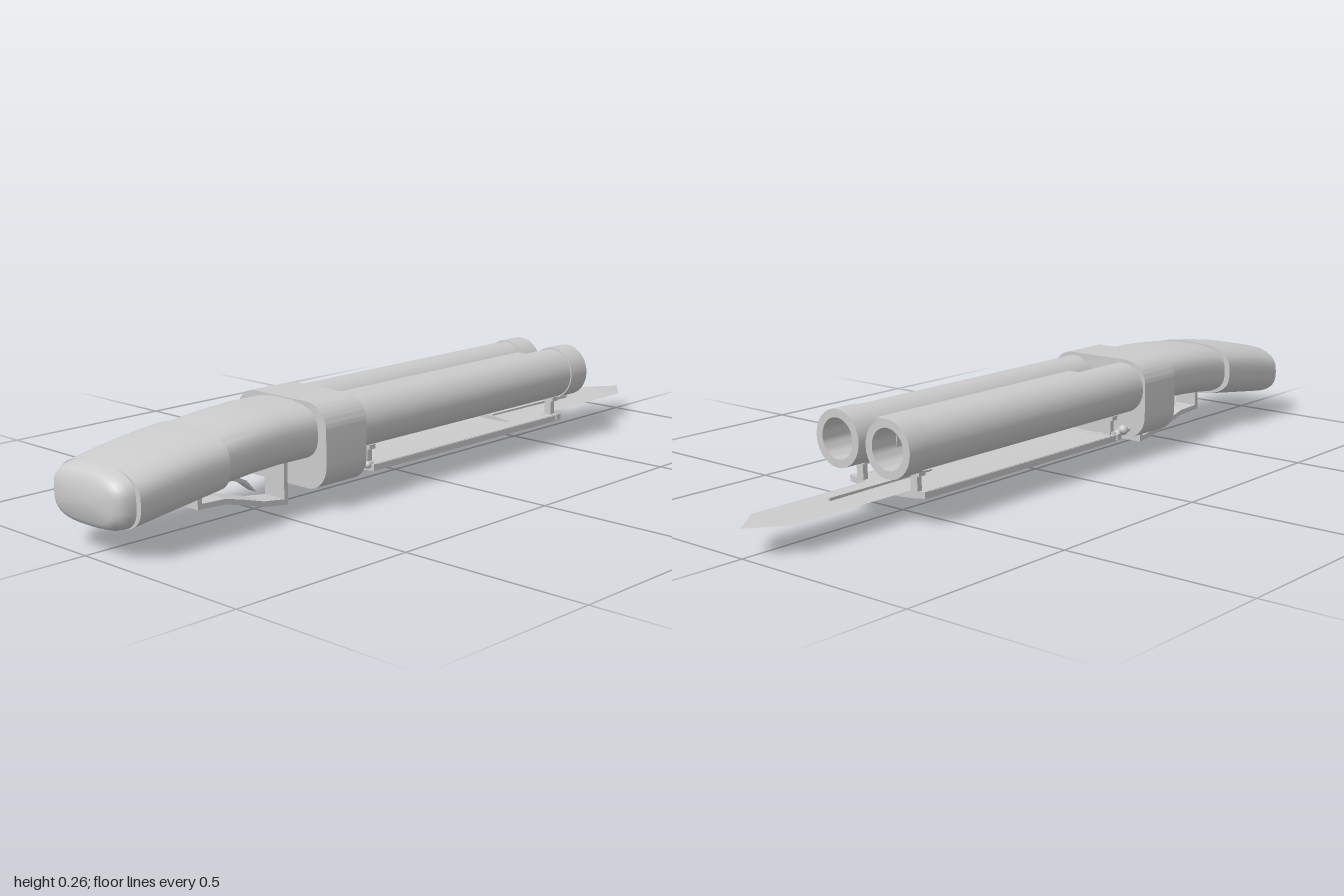
import * as THREE from 'three';
import { toCreasedNormals } from 'three/addons/utils/BufferGeometryUtils.js';

const material = new THREE.MeshStandardMaterial({ color: 0xcccccc, side: THREE.DoubleSide });

// Closed loft along z. Each section: [z, top, bottom, halfWidth]; n is the superellipse exponent.
function loft(sections, n, segments, crease = 0.6) {
  const pos = [], index = [];
  const power = (v) => Math.sign(v) * Math.pow(Math.abs(v), 2 / n);
  for (const [z, top, bottom, hx] of sections) {
    for (let i = 0; i < segments; i++) {
      const a = (i / segments) * Math.PI * 2;
      pos.push(hx * power(Math.cos(a)), (top + bottom) / 2 + ((top - bottom) / 2) * power(Math.sin(a)), z);
    }
  }
  for (let s = 0; s < sections.length - 1; s++) {
    for (let i = 0; i < segments; i++) {
      const a = s * segments + i, b = s * segments + (i + 1) % segments;
      index.push(a, b, b + segments, a, b + segments, a + segments);
    }
  }
  // End caps
  const last = sections.length - 1;
  for (const s of [0, last]) {
    const c = pos.length / 3;
    pos.push(0, (sections[s][1] + sections[s][2]) / 2, sections[s][0]);
    for (let i = 0; i < segments; i++) {
      const a = s * segments + i, b = s * segments + (i + 1) % segments;
      if (s === 0) index.push(c, b, a); else index.push(c, a, b);
    }
  }
  const g = new THREE.BufferGeometry();
  g.setAttribute('position', new THREE.Float32BufferAttribute(pos, 3));
  g.setIndex(index);
  return toCreasedNormals(g, crease);
}

// Side outline in (z, y), extruded symmetrically across x.
function sideExtrude(points, width) {
  const shape = new THREE.Shape(points.map(([z, y]) => new THREE.Vector2(z, y)));
  const g = new THREE.ExtrudeGeometry(shape, { depth: width, bevelEnabled: false });
  return g.translate(0, 0, -width / 2).rotateY(-Math.PI / 2);
}

// Shallow upward-curving plate section, extruded from z0 to z1.
function curvedPlate(hx, y, rise, thick, z0, z1) {
  const shape = new THREE.Shape();
  shape.moveTo(-hx, y + rise);
  shape.quadraticCurveTo(0, y - rise, hx, y + rise);
  shape.lineTo(hx, y + rise + thick);
  shape.quadraticCurveTo(0, y - rise + thick, -hx, y + rise + thick);
  const g = new THREE.ExtrudeGeometry(shape, { depth: z1 - z0, bevelEnabled: false, curveSegments: 12 });
  return toCreasedNormals(g.translate(0, 0, z0), 0.5);
}

function roundedRect(hx, bottom, top, r) {
  const s = new THREE.Shape();
  s.absarc(hx - r, top - r, r, 0, Math.PI / 2);
  s.absarc(-hx + r, top - r, r, Math.PI / 2, Math.PI);
  s.absarc(-hx + r, bottom + r, r, Math.PI, Math.PI * 1.5);
  s.absarc(hx - r, bottom + r, r, Math.PI * 1.5, Math.PI * 2);
  return s;
}

export function createModel() {
  const model = new THREE.Group();
  model.name = 'doubleBarrelWithBlade';
  const add = (name, geometry, x = 0, y = 0, z = 0) => {
    const mesh = new THREE.Mesh(geometry, material);
    mesh.name = name;
    mesh.position.set(x, y, z);
    model.add(mesh);
    return mesh;
  };
  const box = (name, w, h, d, x, y, z) => add(name, new THREE.BoxGeometry(w, h, d), x, y, z);

  // Curved grip, thicker cover and rounded butt
  add('grip', loft([
    [0.40, 0.262, 0.115, 0.13], [0.50, 0.262, 0.116, 0.13], [0.58, 0.257, 0.112, 0.13],
    [0.65, 0.250, 0.106, 0.13], [0.72, 0.238, 0.098, 0.13],
  ], 2.8, 48));
  add('gripCover', loft([
    [0.70, 0.245, 0.095, 0.147], [0.78, 0.236, 0.084, 0.147],
    [0.87, 0.222, 0.072, 0.147], [0.955, 0.204, 0.061, 0.147],
  ], 2.8, 48));
  add('buttCap', loft([
    [0.95, 0.205, 0.060, 0.132], [0.972, 0.200, 0.062, 0.130],
    [0.990, 0.191, 0.069, 0.120], [1.0, 0.176, 0.082, 0.102],
  ], 3, 48, 1.0));

  // Receiver block
  const receiver = new THREE.ExtrudeGeometry(roundedRect(0.158, 0.05, 0.265, 0.065),
    { depth: 0.138, bevelEnabled: false, curveSegments: 10 });
  add('receiver', toCreasedNormals(receiver.translate(0, 0, 0.27), 0.6));

  // Hollow barrels with a raised muzzle ring: profile is [radius, distance from receiver]
  const profile = [
    [0, 0], [0.068, 0], [0.068, 0.86], [0.0715, 0.86], [0.0715, 0.93],
    [0.051, 0.93], [0.051, 0.70], [0, 0.70],
  ].map(([r, d]) => new THREE.Vector2(r, d));
  for (const side of [-1, 1]) {
    const barrel = new THREE.LatheGeometry(profile, 40).rotateX(-Math.PI / 2);
    add('barrel', toCreasedNormals(barrel, 0.6), side * 0.083, 0.188, 0.30);
  }
  box('barrelRib', 0.07, 0.09, 0.73, 0, 0.188, -0.185);

  // Trigger guard and trigger
  add('triggerGuard', sideExtrude([
    [0.705, 0.11], [0.705, 0.047], [0.62, 0.043], [0.56, 0.028], [0.50, 0.011], [0.42, 0.0],
    [0.42, 0.12], [0.432, 0.12], [0.432, 0.016], [0.50, 0.025], [0.56, 0.042], [0.62, 0.057],
    [0.692, 0.060], [0.692, 0.11],
  ], 0.07));
  add('trigger', sideExtrude([
    [0.588, 0.125], [0.585, 0.090], [0.545, 0.076], [0.505, 0.046],
    [0.535, 0.080], [0.572, 0.098], [0.576, 0.125],
  ], 0.03));

  // Curved carrier under the barrels with edge rails and end bands
  add('carrierPlate', curvedPlate(0.118, 0.054, 0.009, 0.012, -0.545, 0.2));
  add('rearBand', curvedPlate(0.125, 0.051, 0.010, 0.016, 0.193, 0.210));
  add('frontBand', curvedPlate(0.125, 0.051, 0.010, 0.016, -0.552, -0.535));
  for (const side of [-1, 1]) {
    box('carrierRail', 0.012, 0.016, 0.745, side * 0.115, 0.066, -0.172);
    for (const z of [0.2, -0.545]) {
      box('carrierPost', 0.022, 0.070, 0.015, side * 0.09, 0.095, z);
      box('postFoot', 0.04, 0.012, 0.022, side * 0.09, 0.118, z);
    }
    // Ball hinges to the receiver
    add('hingeBall', new THREE.SphereGeometry(0.014, 16, 12), side * 0.105, 0.077, 0.245);
    const pin = new THREE.CylinderGeometry(0.006, 0.006, 0.08, 12).rotateX(Math.PI / 2);
    add('hingePin', pin, side * 0.105, 0.075, 0.235);
    add('hingeKnob', new THREE.SphereGeometry(0.010, 12, 10), side * 0.108, 0.074, 0.215);
  }

  // Pointed blade with a central ridge
  add('blade', loft([
    [-1.0, 0.0695, 0.0685, 0.001], [-0.91, 0.073, 0.065, 0.07],
    [-0.55, 0.077, 0.063, 0.07], [-0.40, 0.078, 0.062, 0.07],
  ], 2, 4, 0.05));
  box('bladeRidge', 0.008, 0.018, 0.34, 0, 0.073, -0.57);

  return model;
}
